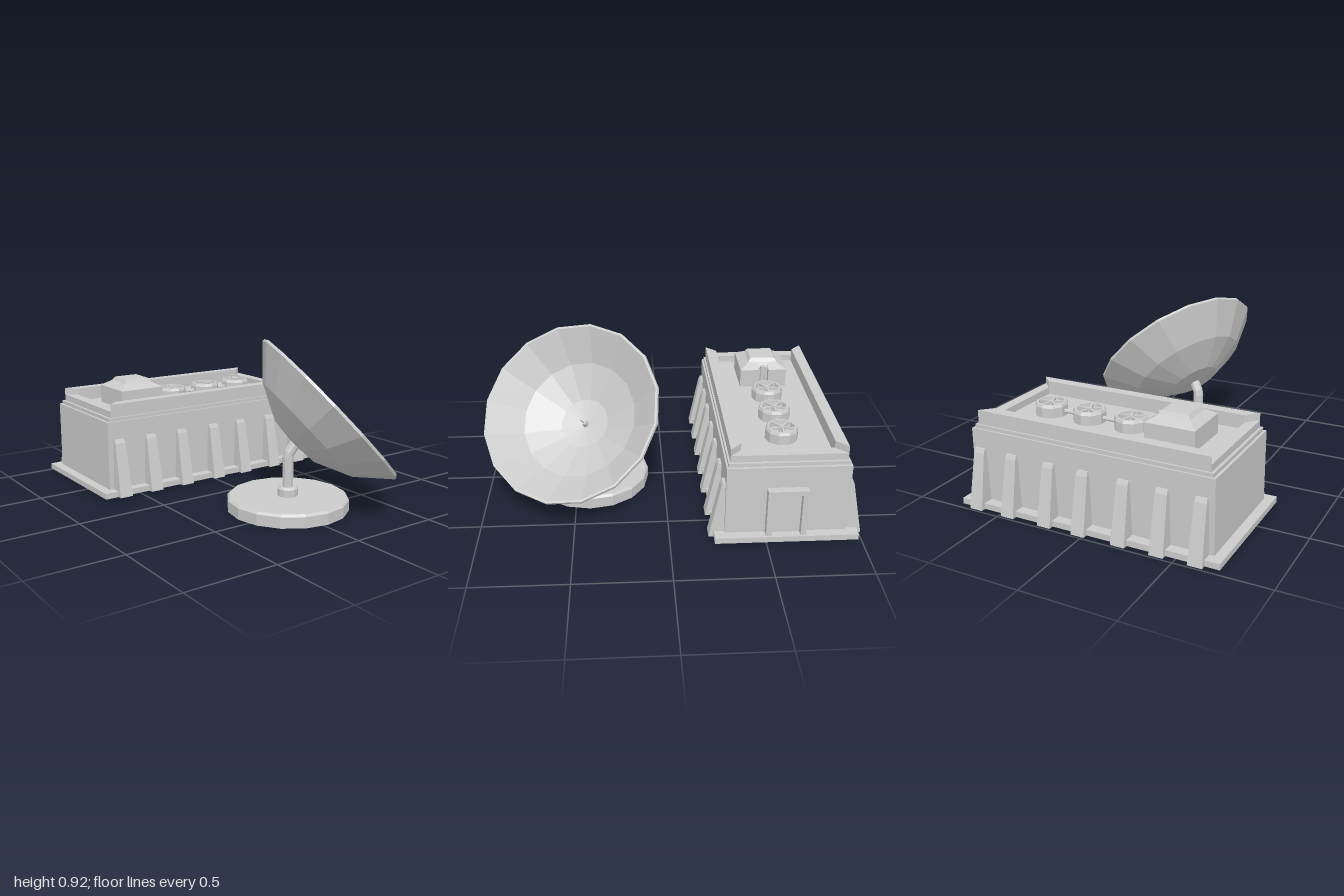
import * as THREE from 'three';

const grey = new THREE.MeshStandardMaterial({ color: 0xcccccc, flatShading: true });
const greyDouble = new THREE.MeshStandardMaterial({ color: 0xcccccc, flatShading: true, side: THREE.DoubleSide });

function add(parent, name, geometry, x = 0, y = 0, z = 0, material = grey) {
  const mesh = new THREE.Mesh(geometry, material);
  mesh.name = name;
  mesh.position.set(x, y, z);
  parent.add(mesh);
  return mesh;
}

// Box given by its limits on each axis
function block(parent, name, x0, x1, y0, y1, z0, z1) {
  return add(parent, name, new THREE.BoxGeometry(x1 - x0, y1 - y0, z1 - z0),
    (x0 + x1) / 2, (y0 + y1) / 2, (z0 + z1) / 2);
}

// Closed solid through horizontal outlines [y, [[x, z], ...]], counter-clockwise from above
function loft(levels) {
  const pos = [];
  const put = (l, i) => pos.push(l[1][i][0], l[0], l[1][i][1]);
  const n = levels[0][1].length;
  for (let k = 0; k + 1 < levels.length; k++) {
    const lo = levels[k], hi = levels[k + 1];
    for (let i = 0; i < n; i++) {
      const j = (i + 1) % n;
      put(lo, i); put(lo, j); put(hi, j);
      put(lo, i); put(hi, j); put(hi, i);
    }
  }
  const cap = (l, flip) => {
    const pts = l[1].map(([x, z]) => new THREE.Vector2(x, -z));
    for (const [a, b, c] of THREE.ShapeUtils.triangulateShape(pts, [])) {
      put(l, a); put(l, flip ? c : b); put(l, flip ? b : c);
    }
  };
  cap(levels[0], true);
  cap(levels[levels.length - 1], false);
  const g = new THREE.BufferGeometry();
  g.setAttribute('position', new THREE.Float32BufferAttribute(pos, 3));
  g.computeVertexNormals();
  return g;
}

const rect = (x0, x1, z0, z1) => [[x0, z1], [x1, z1], [x1, z0], [x0, z0]];
const lathe = (pts, sides) => new THREE.LatheGeometry(pts.map(p => new THREE.Vector2(...p)), sides);

function makeBuilding() {
  const b = new THREE.Group();
  b.name = 'building';
  b.position.z = -0.605;
  block(b, 'basePlate', -0.732, 0.732, 0.013, 0.045, -0.375, 0.375);
  block(b, 'walls', -0.68, 0.68, 0.04, 0.43, -0.32, 0.32);
  block(b, 'cornice', -0.665, 0.665, 0.43, 0.45, -0.31, 0.31);

  // Mitred parapets: tall along the sides, low at the ends
  const X = 0.65, Z = 0.3, t = 0.06;
  for (const turn of [0, Math.PI]) {
    const side = [[-X, Z], [X, Z], [X - t, Z - t], [t - X, Z - t]];
    const end = [[X, Z], [X, -Z], [X - t, t - Z], [X - t, Z - t]];
    add(b, 'sideParapet', loft([[0.45, side], [0.525, side]])).rotation.y = turn;
    add(b, 'endParapet', loft([[0.45, end], [0.487, end]])).rotation.y = turn;
  }

  // Sloping buttresses along both long walls
  for (const x of [-0.617, -0.418, -0.212, 0.012, 0.21, 0.432, 0.628]) {
    for (const turn of [0, Math.PI]) {
      const g = loft([
        [0.013, rect(-0.038, 0.038, 0.3, 0.402)],
        [0.31, rect(-0.031, 0.031, 0.3, 0.343)],
        [0.33, rect(-0.029, 0.029, 0.3, 0.334)]]);
      add(b, 'buttress', g, x).rotation.y = turn;
    }
  }

  // Doorway on the end wall
  const frame = new THREE.Shape([[-0.105, 0.04], [-0.105, 0.312], [0.105, 0.312], [0.105, 0.04],
    [0.075, 0.04], [0.075, 0.285], [-0.075, 0.285], [-0.075, 0.04]].map(p => new THREE.Vector2(...p)));
  add(b, 'doorFrame', new THREE.ExtrudeGeometry(frame, { depth: 0.045, bevelEnabled: false }), 0.677, 0, 0.005)
    .rotation.y = Math.PI / 2;
  block(b, 'door', 0.67, 0.687, 0.04, 0.29, -0.075, 0.085);

  // Rooftop housing with a notch for the duct
  const notched = (h) => {
    const n = Math.min(h, 0.1);
    return [[-h, h], [h, h], [h, 0.03], [n, 0.03], [n, -0.03], [h, -0.03], [h, -h], [-h, -h]];
  };
  add(b, 'roofHousing', loft([[0.45, notched(0.135)], [0.555, notched(0.135)],
    [0.585, notched(0.085)], [0.607, notched(0.07)]]), -0.355);

  // Duct linking the housing and the fans
  const duct = add(b, 'duct', new THREE.CylinderGeometry(0.012, 0.012, 0.66, 8), 0.075, 0.475);
  duct.rotation.z = Math.PI / 2;
  add(b, 'ductRiser', new THREE.CylinderGeometry(0.016, 0.016, 0.12, 8), -0.242, 0.51);

  // Fans
  for (const x of [-0.075, 0.17, 0.405]) {
    const fan = new THREE.Group();
    fan.name = 'fan';
    fan.position.set(x, 0.45, 0);
    b.add(fan);
    add(fan, 'fanHousing', lathe([[0.088, 0], [0.088, 0.053], [0.08, 0.068], [0.068, 0.068],
      [0.064, 0.035], [0, 0.035]], 10), 0, 0, 0, greyDouble);
    add(fan, 'fanHub', new THREE.CylinderGeometry(0.014, 0.018, 0.035, 8), 0, 0.053);
    for (let i = 0; i < 5; i++) {
      const a = i * Math.PI * 2 / 5;
      add(fan, 'fanSpoke', new THREE.BoxGeometry(0.066, 0.012, 0.011),
        0.038 * Math.cos(a), 0.06, -0.038 * Math.sin(a)).rotation.y = a;
    }
  }
  return b;
}

function makeAntenna() {
  const a = new THREE.Group();
  a.name = 'antenna';
  // Footing, collar and bent mast
  const px = 0.026, pz = 0.422;
  add(a, 'footing', lathe([[0, 0], [0.33, 0], [0.33, 0.06], [0.318, 0.072], [0, 0.072]], 16), px, 0, pz);
  add(a, 'mastCollar', lathe([[0.056, 0.07], [0.056, 0.112], [0.046, 0.122], [0, 0.122]], 12), px, 0, pz);
  const vertex = new THREE.Vector3(0.065, 0.375, 0.44);
  const path = new THREE.CurvePath();
  const bend = new THREE.Vector3(px, 0.3, pz);
  path.add(new THREE.LineCurve3(new THREE.Vector3(px, 0.1, pz), bend));
  path.add(new THREE.LineCurve3(bend, vertex.clone().setY(0.365)));
  add(a, 'mast', new THREE.TubeGeometry(path, 12, 0.03, 10));

  // Tilted reflector: outer skin, rim, inner skin
  const dish = new THREE.Group();
  dish.name = 'dish';
  dish.position.copy(vertex);
  dish.quaternion.setFromUnitVectors(new THREE.Vector3(0, 1, 0),
    new THREE.Vector3(0.66, 0.677, 0.32).normalize());
  a.add(dish);
  add(dish, 'reflector', lathe([[0, -0.025], [0.15, -0.012], [0.345, 0.08], [0.51, 0.235],
    [0.507, 0.25], [0.495, 0.25], [0.33, 0.106], [0.14, 0.019], [0, 0]], 16));
  add(dish, 'feedBase', new THREE.CylinderGeometry(0.014, 0.02, 0.036, 8), 0, 0.015);
  add(dish, 'feedRod', new THREE.CylinderGeometry(0.003, 0.004, 0.06, 6), 0, 0.055);
  return a;
}

export function createModel() {
  const model = new THREE.Group();
  model.name = 'groundStation';
  model.add(makeBuilding(), makeAntenna());
  return model;
}
